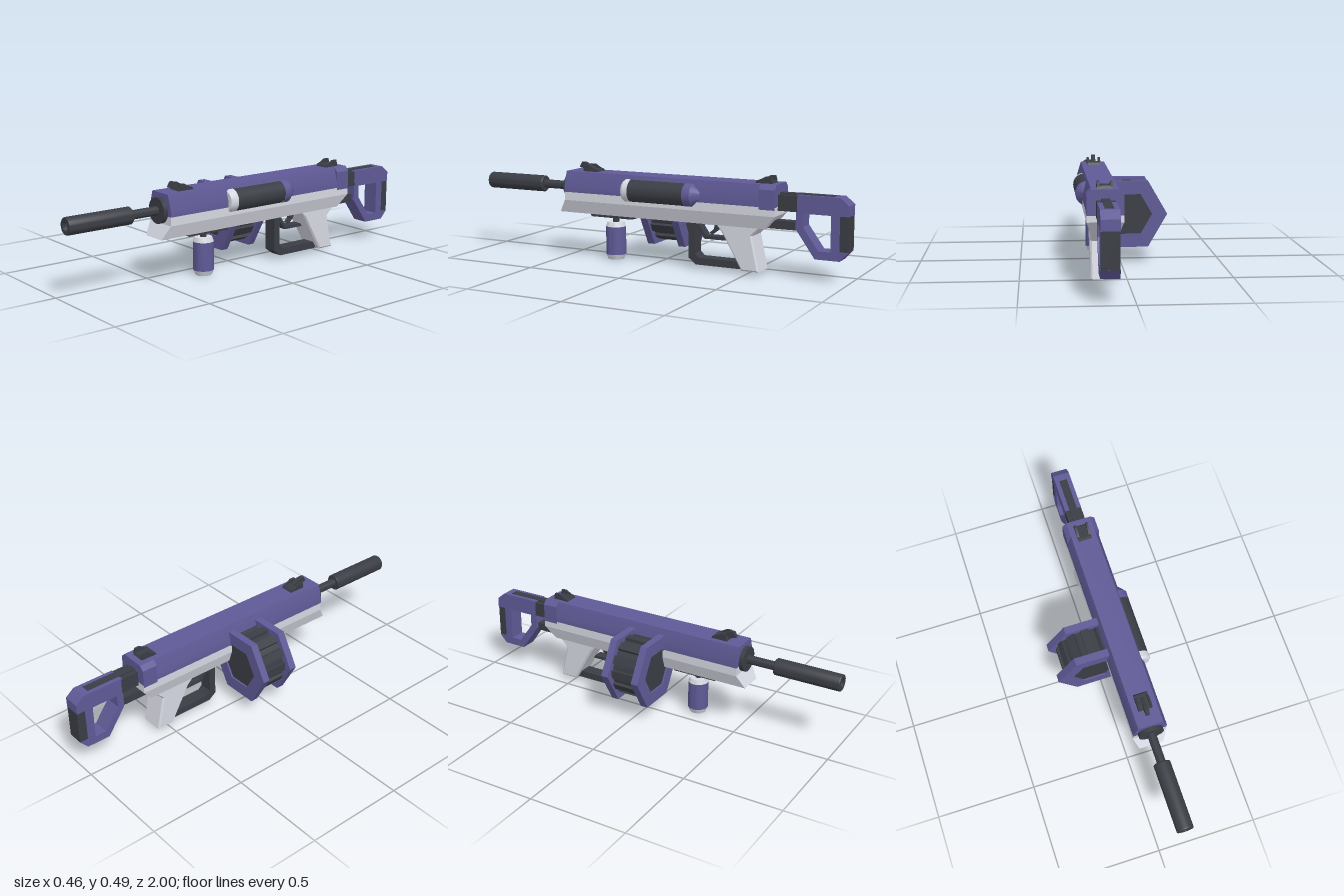
import * as THREE from 'three';
import { toCreasedNormals } from 'three/addons/utils/BufferGeometryUtils.js';

const CX = 0.11; // centre plane of the body
const paint = (color) => new THREE.MeshStandardMaterial({ color, side: THREE.DoubleSide });
const purple = paint(0x5f5a96), dark = paint(0x3a3d44), light = paint(0xd6d8e2);

export function createModel() {
  const model = new THREE.Group();

  function add(name, geometry, material, x = 0, y = 0, z = 0) {
    const mesh = new THREE.Mesh(toCreasedNormals(geometry, 0.55), material);
    mesh.name = name;
    mesh.position.set(x, y, z);
    model.add(mesh);
    return mesh;
  }
  const outline = (pts) => new THREE.Shape(pts.map(([a, b]) => new THREE.Vector2(a, b)));
  function shapeOf(pts, hole) {
    const shape = outline(pts);
    if (hole) shape.holes.push(outline(hole));
    return shape;
  }
  // Side outline given as [z, y], extruded across x and centred on the body
  function sidePart(name, material, width, pts, hole, bevel = 0) {
    const g = new THREE.ExtrudeGeometry(shapeOf(pts, hole), {
      depth: width - 2 * bevel, bevelEnabled: bevel > 0, bevelSegments: 1,
      bevelSize: bevel, bevelOffset: -bevel, bevelThickness: bevel,
    });
    g.translate(0, 0, -width / 2 + bevel).rotateY(-Math.PI / 2);
    return add(name, g, material, CX);
  }
  // Front outline given as [x, y], extruded from z0 to z1
  function frontPart(name, material, z0, z1, pts, hole) {
    const g = new THREE.ExtrudeGeometry(shapeOf(pts, hole), { depth: z1 - z0, bevelEnabled: false });
    g.translate(0, 0, z0);
    return add(name, g, material);
  }
  const mirrored = (half) => [
    ...half.map(([x, y]) => [CX + x, y]),
    ...half.slice().reverse().map(([x, y]) => [CX - x, y]),
  ];
  // Turned part; profile is [radius, distance along the axis]
  function turned(name, material, profile, x, y, z, alongZ = true, sides = 32) {
    const g = new THREE.LatheGeometry(profile.map(([r, h]) => new THREE.Vector2(r, h)), sides);
    if (alongZ) g.rotateX(Math.PI / 2);
    return add(name, g, material, x, y, z);
  }
  const box = (name, material, w, h, d, x, y, z) =>
    add(name, new THREE.BoxGeometry(w, h, d), material, x, y, z);

  // Receiver: upper shell, rear collar and lower shell with raked ends
  frontPart('upperReceiver', purple, -0.655, 0.49,
    mirrored([[0.085, 0.337], [0.085, 0.37], [0.063, 0.442]]));
  frontPart('rearCollar', purple, -0.655, -0.575,
    mirrored([[0.085, 0.325], [0.0855, 0.42], [0.064, 0.4425]]));
  frontPart('lowerReceiverBand', light, -0.655, 0.49, mirrored([[0.085, 0.295], [0.085, 0.337]]));
  const lower = frontPart('lowerReceiver', light, -0.655, 0.49,
    mirrored([[0.063, 0.23], [0.085, 0.295]]));
  const p = lower.geometry.attributes.position;
  for (let i = 0; i < p.count; i++) {
    if (p.getY(i) < 0.25) p.setZ(i, p.getZ(i) > 0 ? 0.53 : -0.6);
  }
  lower.geometry = toCreasedNormals(lower.geometry, 0.4);

  // Barrel and muzzle tube
  turned('barrelCollar', dark, [[0, 0.48], [0.063, 0.48], [0.063, 0.512], [0, 0.512]], CX, 0.358, 0);
  turned('barrel', dark, [[0.022, 0.5], [0.022, 0.68]], CX, 0.358, 0);
  turned('muzzleTube', dark, [[0, 0.66], [0.038, 0.66], [0.042, 0.665], [0.042, 0.995],
    [0.039, 1], [0.022, 1], [0.02, 0.96], [0.013, 0.96], [0.013, 0.9], [0, 0.9]], CX, 0.358, 0);

  // Foregrip below the front
  sidePart('foregripRail', dark, 0.09, [[0.365, 0.232], [0.355, 0.215], [0.12, 0.215], [0.11, 0.232]]);
  turned('foregripNeck', dark, [[0.016, 0.18], [0.016, 0.22]], CX, 0, 0.238, false);
  turned('foregripBottomCap', light, [[0, 0], [0.041, 0], [0.051, 0.025]], CX, 0, 0.238, false);
  turned('foregrip', purple, [[0.051, 0.025], [0.051, 0.168]], CX, 0, 0.238, false);
  turned('foregripTopCap', light, [[0.051, 0.168], [0.043, 0.19], [0, 0.19]], CX, 0, 0.238, false);

  // Side canister
  turned('canisterBody', dark, [[0.057, -0.19], [0.057, 0.11]], 0.171, 0.365, 0);
  turned('canisterFrontCap', light, [[0.058, 0.11], [0.058, 0.138], [0.05, 0.15], [0, 0.15]], 0.171, 0.365, 0);
  turned('canisterRearCap', purple, [[0, -0.275], [0.022, -0.275], [0.058, -0.23], [0.058, -0.19]], 0.171, 0.365, 0);

  // Hexagonal drum magazine with ribs
  const DX = -0.04, DY = 0.246;
  const hexagon = (r) => Array.from({ length: 6 }, (_, i) =>
    [DX + r * Math.cos(i * Math.PI / 3), DY + r * Math.sin(i * Math.PI / 3)]);
  for (const [z0, z1] of [[0.045, 0.083], [-0.127, -0.09]]) {
    frontPart('drumPlate', purple, z0, z1, hexagon(0.19), hexagon(0.115));
  }
  frontPart('drumInsert', dark, -0.118, 0.074, hexagon(0.116));
  turned('drumCore', dark, [[0, -0.09], [0.138, -0.09], [0.138, 0.045], [0, 0.045]], DX, DY, 0, true, 24);
  for (let i = 0; i < 12; i++) {
    const a = i * Math.PI / 6;
    box('drumRib', dark, 0.03, 0.042, 0.135,
      DX + 0.136 * Math.cos(a), DY + 0.136 * Math.sin(a), -0.0225).rotation.z = a;
  }

  // Handle, hand guard and trigger
  sidePart('handle', light, 0.126, [[-0.34, 0.24], [-0.375, 0.2], [-0.48, 0.018], [-0.57, 0.018],
    [-0.533, 0.19], [-0.58, 0.24]], null, 0.008);
  sidePart('handGuard', dark, 0.07, [[-0.19, 0.235], [-0.19, 0.05], [-0.23, 0.02], [-0.49, 0.02],
    [-0.47, 0.055], [-0.245, 0.055], [-0.225, 0.075], [-0.225, 0.235]]);
  sidePart('triggerGuard', dark, 0.05, [[-0.22, 0.215], [-0.27, 0.15], [-0.385, 0.15],
    [-0.375, 0.166], [-0.277, 0.166], [-0.23, 0.235], [-0.22, 0.235]]);
  sidePart('trigger', dark, 0.022, [[-0.32, 0.235], [-0.315, 0.2], [-0.29, 0.178], [-0.305, 0.172],
    [-0.335, 0.195], [-0.35, 0.235]]);

  // Stock: struts, loop and butt pad
  box('upperStrut', dark, 0.085, 0.075, 0.1, CX, 0.357, -0.7);
  box('stockTopStrip', dark, 0.04, 0.02, 0.27, CX, 0.3925, -0.785);
  box('lowerStrut', dark, 0.05, 0.04, 0.2, CX, 0.25, -0.66);
  sidePart('stockLoop', purple, 0.085,
    [[-0.745, 0.4], [-0.957, 0.4], [-1, 0.365], [-1, 0.315], [-0.957, 0.315], [-0.957, 0.15],
      [-1, 0.15], [-0.96, 0.106], [-0.84, 0.106], [-0.745, 0.24]],
    [[-0.78, 0.315], [-0.915, 0.315], [-0.915, 0.145], [-0.857, 0.145], [-0.78, 0.252]]);
  box('buttPad', dark, 0.08, 0.165, 0.043, CX, 0.2325, -0.978);

  // Front and rear sights
  for (const [name, z, s] of [['frontSight', 0.365, 1], ['rearSight', -0.58, -1]]) {
    const side = (pts) => pts.map(([a, y]) => [z + a * s, y]);
    sidePart(name + 'Base', dark, 0.07, side([[-0.045, 0.44], [-0.035, 0.455], [0.035, 0.455], [0.045, 0.44]]));
    for (const dx of [-0.03, 0.03]) {
      sidePart(name + 'Ear', dark, 0.011,
        side([[-0.035, 0.45], [0.01, 0.475], [0.035, 0.475], [0.042, 0.45]])).position.x += dx;
    }
    if (s > 0) {
      sidePart('frontSightPost', dark, 0.02,
        side([[-0.04, 0.445], [0.05, 0.486], [0.065, 0.486], [0.08, 0.46], [0.03, 0.445]]));
    }
  }
  return model;
}
